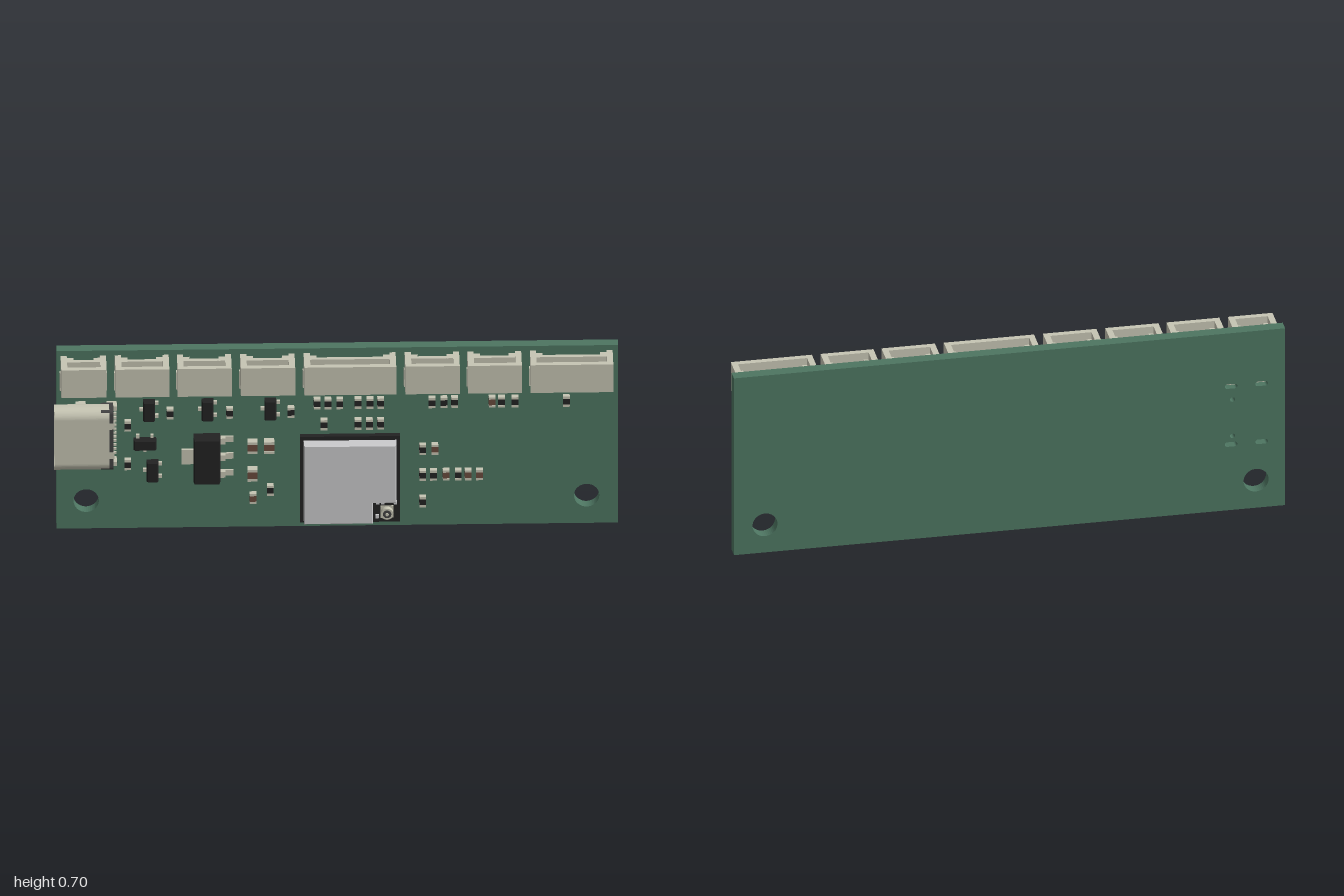
import * as THREE from 'three';

const mat = (name, color) => Object.assign(new THREE.MeshStandardMaterial({ color }), { name });
const M = {
  green: mat('boardGreen', 0x4d7561),
  beige: mat('contactBeige', 0xc6c5b3),
  silver: mat('shieldSilver', 0xcacacc),
  black: mat('chipBlack', 0x222222),
  grey: mat('plasticGrey', 0x424242),
  brown: mat('capacitorBrown', 0x694a3d),
};
const FACE = -0.036; // z of the board's front face

function add(parent, name, geo, m) {
  const mesh = new THREE.Mesh(geo, m);
  mesh.name = name;
  parent.add(mesh);
  return mesh;
}

// Box given by its limits on each axis
function box(parent, name, m, x0, x1, y0, y1, z0, z1) {
  const geo = new THREE.BoxGeometry(x1 - x0, y1 - y0, z1 - z0);
  geo.translate((x0 + x1) / 2, (y0 + y1) / 2, (z0 + z1) / 2);
  return add(parent, name, geo, m);
}

function group(parent, name, x = 0, y = 0) {
  const g = new THREE.Group();
  g.name = name;
  g.position.set(x, y, 0);
  parent.add(g);
  return g;
}

// Rounded outline centred on (cx, cy)
function roundRect(path, cx, cy, w, h, r) {
  const a = w / 2 - r, b = h / 2 - r;
  path.absarc(cx + a, cy + b, r, 0, Math.PI / 2);
  path.absarc(cx - a, cy + b, r, Math.PI / 2, Math.PI);
  path.absarc(cx - a, cy - b, r, Math.PI, Math.PI * 1.5);
  path.absarc(cx + a, cy - b, r, Math.PI * 1.5, Math.PI * 2);
  path.closePath();
  return path;
}

const polygon = pts => new THREE.Shape(pts.map(p => new THREE.Vector2(...p)));

function buildBoard(root) {
  const s = polygon([[-0.99, 0], [1, 0], [1, 0.705], [-0.99, 0.705]]);
  const hole = (x, y, r) => s.holes.push(new THREE.Path().absarc(x, y, r, 0, Math.PI * 2, true));
  hole(-0.885, 0.11, 0.045);
  hole(0.888, 0.11, 0.045);
  for (const y of [0.44, 0.295]) hole(-0.8, y, 0.009);
  for (const x of [-0.795, -0.905]) for (const y of [0.493, 0.262])
    s.holes.push(roundRect(new THREE.Path(), x, y, 0.045, 0.018, 0.0089));
  const geo = new THREE.ExtrudeGeometry(s, { depth: 0.044, bevelEnabled: false, curveSegments: 20 });
  geo.translate(0, 0, -0.08);
  add(root, 'board', geo, M.green);
}

// Header socket, open at the top
function buildSocket(root, x0, x1) {
  const g = group(root, 'socket', (x0 + x1) / 2), h = (x1 - x0) / 2;
  box(g, 'socketFloor', M.beige, -h, h, 0.577, 0.6, -0.008, 0.08);
  box(g, 'socketFrontWall', M.beige, -h, h, 0.6, 0.687, 0.058, 0.08);
  box(g, 'socketBackWall', M.beige, -h + 0.022, h - 0.022, 0.59, 0.672, -0.03, -0.012);
  for (const s of [-1, 1]) {
    const side = (name, a, b, ...r) => box(g, name, M.beige, Math.min(s * a, s * b), Math.max(s * a, s * b), ...r);
    side('socketSideWall', h - 0.022, h, 0.59, 0.687, -0.034, 0.058);
    side('socketCorner', h - 0.045, h - 0.022, 0.6, 0.68, -0.03, 0.004);
    side('solderTab', h - 0.012, h + 0.003, 0.556, 0.625, FACE, -0.018);
    side('socketFoot', h - 0.04, h - 0.022, 0.6, 0.66, 0.042, 0.058);
  }
  // Contact pins and their solder tails
  const n = Math.max(2, Math.round((2 * h - 0.1) / 0.037));
  for (let i = 0; i < n; i++) {
    const x = (i - (n - 1) / 2) * 0.037;
    box(g, 'pin', M.beige, x - 0.005, x + 0.005, 0.6, 0.66, 0.018, 0.028);
    box(g, 'pinTail', M.beige, x - 0.005, x + 0.005, 0.553, 0.59, FACE, -0.026);
  }
}

function buildPort(root) {
  const g = group(root, 'port'), cy = 0.388;
  // Profile drawn in (-z, y), then extruded along x
  const s = roundRect(new THREE.Shape(), -0.012, cy, 0.086, 0.244, 0.036);
  s.holes.push(roundRect(new THREE.Path(), -0.012, cy, 0.068, 0.226, 0.028));
  const geo = new THREE.ExtrudeGeometry(s, { depth: 0.195, bevelEnabled: false, curveSegments: 10 });
  geo.rotateY(Math.PI / 2);
  geo.translate(-1, 0, 0);
  add(g, 'portShell', geo, M.beige);
  const back = roundRect(new THREE.Shape(), -0.008, cy, 0.078, 0.236, 0.014);
  const backGeo = new THREE.ExtrudeGeometry(back, { depth: 0.045, bevelEnabled: false, curveSegments: 4 });
  backGeo.rotateY(Math.PI / 2);
  backGeo.translate(-0.835, 0, 0);
  add(g, 'portBack', backGeo, M.grey);
  box(g, 'portTongue', M.grey, -0.98, -0.83, cy - 0.08, cy + 0.08, 0.005, 0.02);
  for (const x of [-0.795, -0.905]) for (const y of [0.497, 0.278])
    box(g, 'portLeg', M.beige, x - 0.018, x + 0.018, y - 0.008, y + 0.008, -0.06, 0.01);
  for (const y of [0.33, 0.446])
    box(g, 'portClip', M.beige, -0.806, -0.786, y - 0.012, y + 0.012, 0.03, 0.05);
  for (let i = 0; i < 12; i++) {
    const y = cy + (i - 5.5) * 0.0155;
    box(g, 'portPin', M.beige, -0.8, -0.777, y - 0.004, y + 0.004, FACE, -0.027);
  }
}

function buildRadio(root) {
  const g = group(root, 'radioModule');
  box(g, 'moduleBase', M.black, -0.128, 0.227, 0.025, 0.365, FACE, -0.013);
  const s = polygon([[-0.115, 0.037], [0.13, 0.037], [0.13, 0.118], [0.213, 0.118], [0.213, 0.35], [-0.115, 0.35]]);
  const geo = new THREE.ExtrudeGeometry(s, {
    depth: 0.037, bevelThickness: 0.006, bevelSize: 0.004, bevelOffset: -0.004, bevelSegments: 1,
  });
  geo.translate(0, 0, -0.013);
  add(g, 'moduleShield', geo, M.silver);
  // Aerial jack in the shield's notch
  box(g, 'jackBase', M.beige, 0.157, 0.203, 0.044, 0.09, -0.013, -0.006);
  const disc = (name, r, z0, z1, m) => {
    const c = new THREE.CylinderGeometry(r, r, z1 - z0, 24);
    c.rotateX(Math.PI / 2);
    c.translate(0.18, 0.067, (z0 + z1) / 2);
    add(g, name, c, m);
  };
  disc('jackRing', 0.022, -0.006, 0.012, M.beige);
  disc('jackWell', 0.015, 0.012, 0.013, M.grey);
  disc('jackPin', 0.006, 0.012, 0.016, M.beige);
  for (const [x, y] of [[0.147, 0.104], [0.165, 0.104], [0.145, 0.05], [0.21, 0.104]])
    box(g, 'modulePart', M.silver, x - 0.006, x + 0.006, y - 0.006, y + 0.006, -0.013, -0.003);
}

// Black body whose upper half tapers inwards
function chipBody(g, w, h, z1) {
  const geo = new THREE.BoxGeometry(w, h, z1 - FACE - 0.003, 1, 1, 2);
  const p = geo.attributes.position;
  for (let i = 0; i < p.count; i++)
    if (p.getZ(i) > 0.001) p.setXY(i, p.getX(i) - Math.sign(p.getX(i)) * 0.004, p.getY(i) - Math.sign(p.getY(i)) * 0.004);
  geo.computeVertexNormals();
  geo.translate(0, 0, (z1 + FACE + 0.003) / 2);
  add(g, 'chipBody', geo, M.black);
}

function buildChip(root, x, y, turned) {
  const g = group(root, 'smallChip', x, y);
  if (turned) g.rotation.z = Math.PI / 2;
  chipBody(g, 0.042, 0.08, -0.002);
  for (const [sx, ly] of [[-1, 0], [1, 0.025], [1, -0.025]])
    box(g, 'chipLead', M.beige, sx * 0.025 - 0.009, sx * 0.025 + 0.009, ly - 0.006, ly + 0.006, FACE, -0.024);
}

function buildRegulator(root) {
  const g = group(root, 'regulator', -0.458, 0.285);
  chipBody(g, 0.095, 0.178, 0.025);
  box(g, 'regulatorTab', M.beige, -0.09, -0.04, -0.028, 0.028, FACE, -0.022);
  for (const y of [0.066, 0, -0.067]) {
    box(g, 'regulatorFoot', M.beige, 0.06, 0.095, y - 0.011, y + 0.011, FACE, -0.028);
    box(g, 'regulatorLead', M.beige, 0.044, 0.066, y - 0.011, y + 0.011, FACE, -0.012);
  }
}

// Resistor or capacitor with metal end caps
function buildPassive(root, x, y, m, w = 0.024, h = 0.04, z1 = -0.014) {
  const g = group(root, m === M.brown ? 'capacitor' : 'resistor', x, y), e = h * 0.22;
  box(g, 'body', m, -w / 2, w / 2, -h / 2 + e, h / 2 - e, FACE, z1 - 0.001);
  for (const s of [-1, 1]) {
    const c = s * (h / 2 - e / 2);
    box(g, 'endCap', M.beige, -w / 2, w / 2, c - e / 2, c + e / 2, FACE, z1);
  }
}

export function createModel() {
  const root = new THREE.Group();
  root.name = 'circuitBoard';
  buildBoard(root);
  for (const [a, b] of [[-0.976, -0.815], [-0.784, -0.593], [-0.564, -0.372], [-0.34, -0.147],
    [-0.115, 0.211], [0.243, 0.436], [0.465, 0.656], [0.687, 0.98]]) buildSocket(root, a, b);
  buildPort(root);
  buildRadio(root);
  buildRegulator(root);
  for (const [x, y] of [[-0.663, 0.473], [-0.455, 0.473], [-0.233, 0.473], [-0.65, 0.233]]) buildChip(root, x, y);
  buildChip(root, -0.677, 0.34, true);

  // Rows of resistors and capacitors: height, then x positions
  const resistors = [[0.493, -0.067, -0.029, 0.013, 0.078, 0.12, 0.158, 0.34, 0.382, 0.42, 0.586, 0.634, 0.816],
    [0.41, -0.043, 0.078, 0.118, 0.158], [0.46, -0.588, -0.377, -0.16], [0.413, -0.738], [0.26, -0.738],
    [0.152, -0.233], [0.307, 0.307], [0.205, 0.307, 0.345, 0.433], [0.1, 0.307]];
  const capacitors = [[0.493, 0.553], [0.307, 0.35], [0.205, 0.39, 0.468, 0.508], [0.12, -0.294]];
  for (const [y, ...xs] of resistors) xs.forEach(x => buildPassive(root, x, y, M.black));
  for (const [y, ...xs] of capacitors) xs.forEach(x => buildPassive(root, x, y, M.brown));
  for (const [x, y] of [[-0.296, 0.327], [-0.237, 0.327], [-0.296, 0.217]])
    buildPassive(root, x, y, M.brown, 0.036, 0.046, -0.004);
  return root;
}
